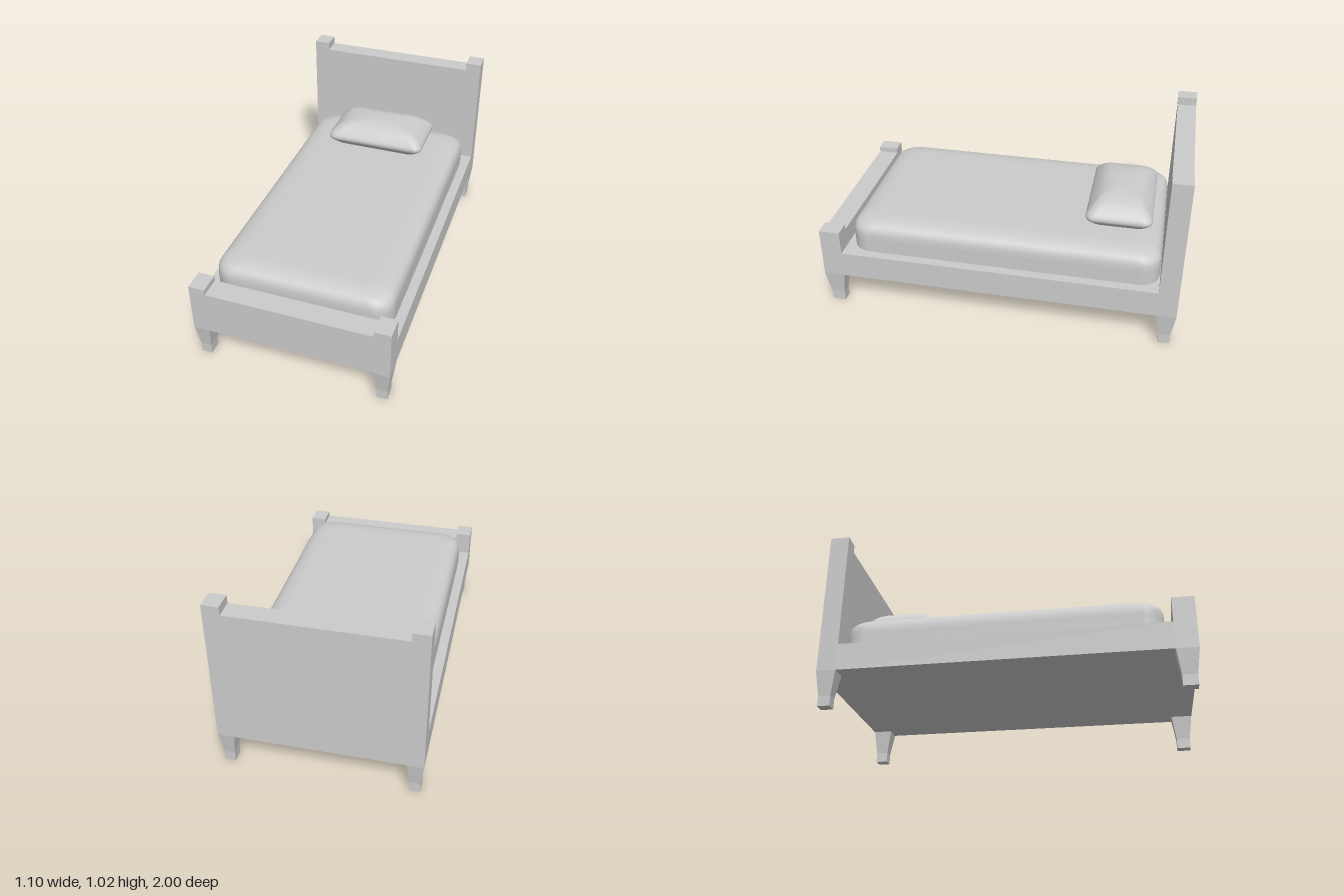
import * as THREE from 'three';

const material = new THREE.MeshStandardMaterial({ color: 0xcccccc });
const HALF_W = 0.548, POST_W = 0.091, RAIL_Y = 0.195, RAIL_TOP = 0.346;

function addMesh(parent, name, geometry) {
  const mesh = new THREE.Mesh(geometry, material);
  mesh.name = name;
  parent.add(mesh);
  return mesh;
}

// Soft body from stacked rounded rectangles; each profile point is [halfX, y, halfZ]
function softBody(profile, radius, steps) {
  const curve = new THREE.CatmullRomCurve3(profile.map(p => new THREE.Vector3(...p)), false, 'centripetal');
  const rings = curve.getPoints(steps);
  const seg = 8, n = 4 * (seg + 1);
  const positions = [], index = [];
  rings.forEach(({ x: hx, y, z: hz }) => {
    const r = Math.min(radius, hx * 0.4, hz * 0.4);
    for (let c = 0; c < 4; c++) {
      const sx = c === 0 || c === 3 ? 1 : -1, sz = c < 2 ? 1 : -1;
      for (let k = 0; k <= seg; k++) {
        const a = (c + k / seg) * Math.PI / 2;
        positions.push(sx * (hx - r) + r * Math.cos(a), y, sz * (hz - r) + r * Math.sin(a));
      }
    }
  });
  for (let i = 0; i < rings.length - 1; i++) {
    for (let j = 0; j < n; j++) {
      const a = i * n + j, b = i * n + (j + 1) % n;
      index.push(a, a + n, b, b, a + n, b + n);
    }
  }
  const g = new THREE.BufferGeometry();
  g.setAttribute('position', new THREE.Float32BufferAttribute(positions, 3));
  g.setIndex(index);
  g.computeVertexNormals();
  return g;
}

// Square leg: tapers down to a short straight foot
function legGeometry(depth) {
  const inset = 0.016, footY = 0.058;
  const g = new THREE.BoxGeometry(POST_W, RAIL_Y, depth, 1, 2, 1).toNonIndexed();
  const p = g.attributes.position;
  for (let i = 0; i < p.count; i++) {
    const y = p.getY(i) + RAIL_Y / 2;
    const isTop = y > RAIL_Y * 0.75, isMid = !isTop && y > RAIL_Y * 0.25;
    if (!isTop) {
      p.setX(i, p.getX(i) - Math.sign(p.getX(i)) * inset);
      p.setZ(i, p.getZ(i) - Math.sign(p.getZ(i)) * (inset + 0.004));
    }
    p.setY(i, isTop ? RAIL_Y : isMid ? footY : 0);
  }
  g.computeVertexNormals();
  return g;
}

// Bed end: panel flush with two taller corner posts, on two legs
function bedEnd(name, zBack, zFront, panelTop, postTop) {
  const end = new THREE.Group();
  end.name = name;
  const inner = HALF_W - POST_W, depth = zFront - zBack;
  const outline = new THREE.Shape([
    [-HALF_W, RAIL_Y], [HALF_W, RAIL_Y], [HALF_W, postTop], [inner, postTop],
    [inner, panelTop], [-inner, panelTop], [-inner, postTop], [-HALF_W, postTop],
  ].map(([x, y]) => new THREE.Vector2(x, y)));
  const panel = new THREE.ExtrudeGeometry(outline, { depth, bevelEnabled: false });
  addMesh(end, name + 'Panel', panel.translate(0, 0, zBack));
  for (const side of [-1, 1]) {
    const leg = addMesh(end, side > 0 ? 'leftLeg' : 'rightLeg', legGeometry(depth));
    leg.position.set(side * (HALF_W - POST_W / 2), 0, (zBack + zFront) / 2);
  }
  return end;
}

export function createModel() {
  const bed = new THREE.Group();
  bed.name = 'bed';

  bed.add(bedEnd('headboard', -1, -0.893, 0.976, 1.022));
  bed.add(bedEnd('footboard', 0.882, 1, 0.452, 0.483));

  // Solid base between the two ends
  const base = addMesh(bed, 'base', new THREE.BoxGeometry(HALF_W * 2, RAIL_TOP - RAIL_Y, 1.775));
  base.position.set(0, (RAIL_TOP + RAIL_Y) / 2, -0.0055);

  // Mattress: straight sides with a soft rolled top edge
  const mattressEdge = [[0, RAIL_TOP], [0, 0.40], [0, 0.448], [0.005, 0.478], [0.02, 0.503],
    [0.05, 0.521], [0.09, 0.531], [0.15, 0.535], [0.25, 0.535], [0.4945, 0.535]];
  const mattress = addMesh(bed, 'mattress', softBody(
    mattressEdge.map(([d, y]) => [0.495 - d, y, 0.867 - d]), 0.11, 36));
  mattress.position.z = -0.022;

  // Pillow: plump cushion resting slightly sunk into the mattress
  const pillow = addMesh(bed, 'pillow', softBody([
    [0.001, 0.515, 0.001], [0.2, 0.518, 0.1], [0.25, 0.533, 0.138], [0.285, 0.562, 0.168], [0.3, 0.582, 0.182],
    [0.3, 0.598, 0.183], [0.288, 0.618, 0.172], [0.26, 0.643, 0.15], [0.225, 0.665, 0.124],
    [0.165, 0.681, 0.09], [0.08, 0.69, 0.045], [0.001, 0.692, 0.001],
  ], 0.045, 44));
  pillow.position.set(-0.008, 0, -0.638);

  return bed;
}
